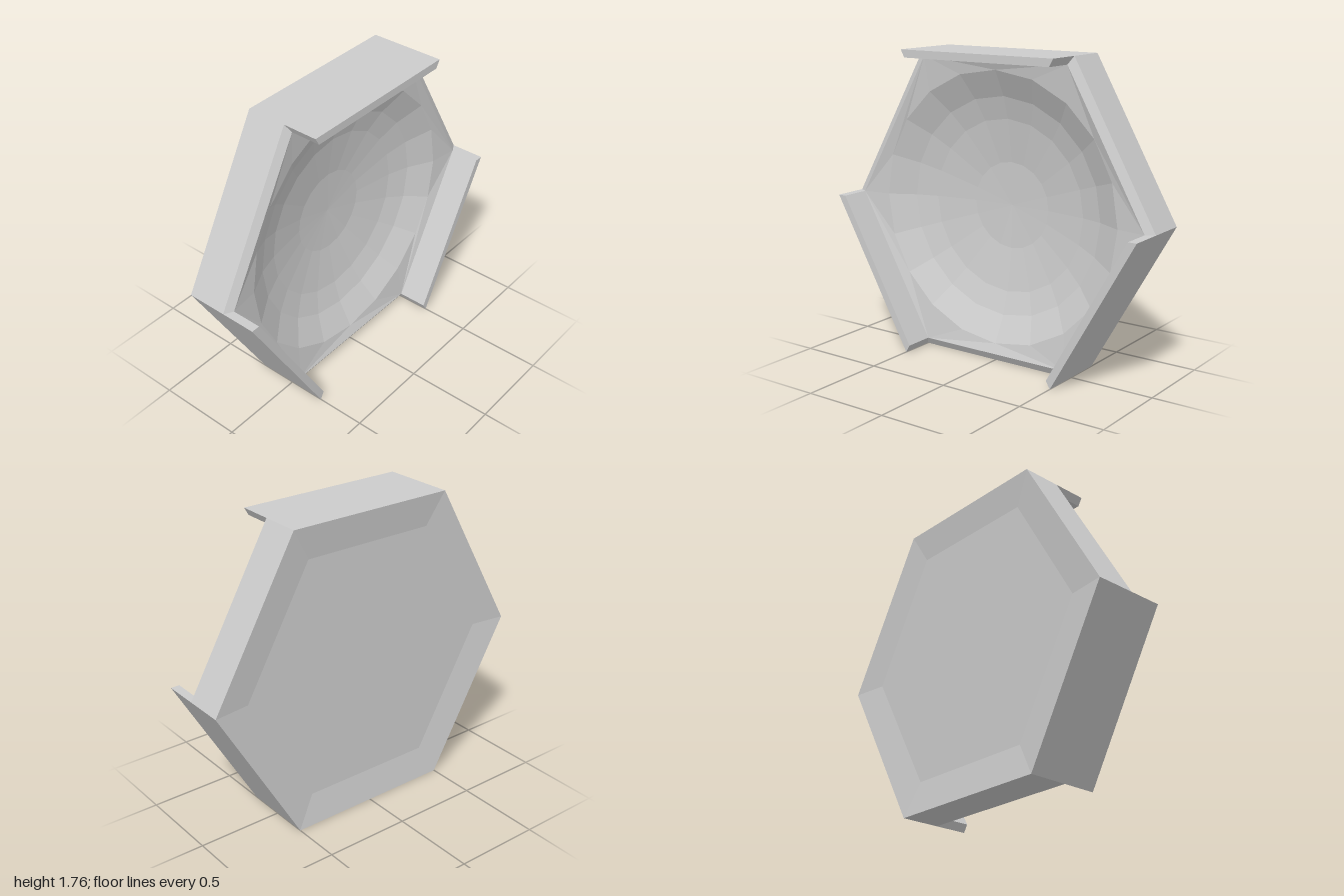
import * as THREE from 'three';

const CENTER_Y = 0.88;
const DEPTH = 0.216;      // half depth
const HEX_Y = 0.88 / Math.sin(Math.PI / 3); // brings the hexagon to full height
const INSET = 0.95;       // inner rim relative to the outer outline

// Ring of n points at height z, counter-clockwise seen from the front
function ring(n, r, z, stretch = 1) {
  return Array.from({ length: n }, (_, i) => {
    const a = (i / n) * Math.PI * 2;
    return new THREE.Vector3(r * Math.cos(a), r * Math.sin(a) * stretch, z);
  });
}

// Skin a list of rings with flat facets
function loft(rings) {
  const pos = [];
  for (let k = 0; k < rings.length - 1; k++) {
    const a = rings[k], b = rings[k + 1], n = a.length;
    for (let i = 0; i < n; i++) {
      const j = (i + 1) % n;
      for (const [p, q, r] of [[a[i], a[j], b[j]], [a[i], b[j], b[i]]]) {
        if (p.equals(q) || q.equals(r) || r.equals(p)) continue;
        pos.push(...p.toArray(), ...q.toArray(), ...r.toArray());
      }
    }
  }
  const geo = new THREE.BufferGeometry();
  geo.setAttribute('position', new THREE.Float32BufferAttribute(pos, 3));
  geo.computeVertexNormals();
  return geo;
}

export function createModel() {
  const model = new THREE.Group();
  model.name = 'hexagonalTray';
  const material = new THREE.MeshStandardMaterial({ color: 0xcccccc, flatShading: true });

  const add = (geometry, name) => {
    const mesh = new THREE.Mesh(geometry, material);
    mesh.name = name;
    mesh.position.y = CENTER_Y;
    model.add(mesh);
  };
  const hex = (r, z) => ring(6, r, z, HEX_Y);

  // Body: shallow recessed back, straight sides, chamfered rim
  add(loft([
    hex(0, -0.19), hex(0.79, -0.19), hex(1, -DEPTH), hex(1, 0.015), hex(INSET, 0.043),
  ]), 'body');

  // Faceted bowl, from its rim down to the floor
  const SIDES = 20, RIM = 0.78, RIM_Z = 0.02;
  const bowlProfile = [[RIM, RIM_Z], [0.63, -0.06], [0.5, -0.1], [0.25, -0.14], [0, -0.15]];
  add(loft(bowlProfile.map(([r, z]) => ring(SIDES, r, z))), 'bowl');

  // Border between the hexagonal rim and the bowl, dipping towards the bowl
  const border = new THREE.Shape(hex(INSET, 0).map((p) => new THREE.Vector2(p.x, p.y)));
  border.holes.push(new THREE.Path(ring(SIDES, RIM, 0).map((p) => new THREE.Vector2(p.x, p.y))));
  const borderGeo = new THREE.ShapeGeometry(border);
  const bp = borderGeo.attributes.position;
  for (let i = 0; i < bp.count; i++) {
    bp.setZ(i, Math.hypot(bp.getX(i), bp.getY(i)) < RIM + 0.01 ? RIM_Z : 0.043);
  }
  borderGeo.computeVertexNormals();
  add(borderGeo, 'border');

  // Tall mitred walls on every second side
  const outer = hex(1, 0), inner = hex(INSET, 0);
  [[1, 'topWall'], [3, 'lowerRightWall'], [5, 'lowerLeftWall']].forEach(([k, name]) => {
    const j = (k + 1) % 6;
    const outline = [outer[k], outer[j], inner[j], inner[k]];
    const shape = new THREE.Shape(outline.map((p) => new THREE.Vector2(p.x, p.y)));
    const geo = new THREE.ExtrudeGeometry(shape, { depth: DEPTH - 0.015, bevelEnabled: false });
    add(geo.translate(0, 0, 0.015), name);
  });

  return model;
}
